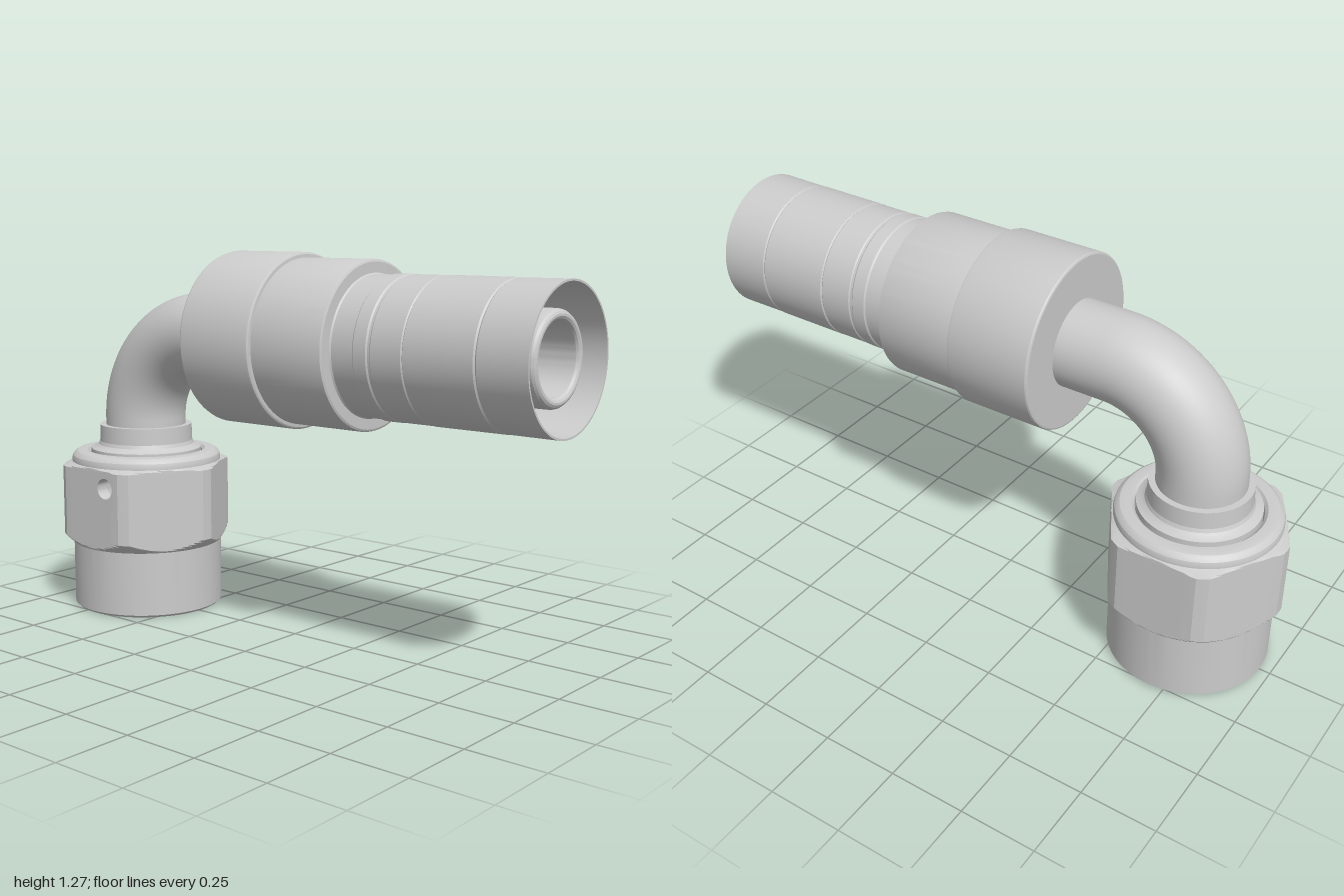
import * as THREE from 'three';
import { toCreasedNormals } from 'three/addons/utils/BufferGeometryUtils.js';

const SEG = 96;
const grey = new THREE.MeshStandardMaterial({ color: 0xcccccc });
const inner = new THREE.MeshStandardMaterial({ color: 0xcccccc, side: THREE.BackSide });
const CREASE = THREE.MathUtils.degToRad(20);

function part(name, geometry, material = grey) {
  const mesh = new THREE.Mesh(geometry, material);
  mesh.name = name;
  return mesh;
}

// Profile of [radius, height] pairs: outside upwards, inside downwards
const lathe = (pts, seg = SEG) =>
  new THREE.LatheGeometry(pts.map(([r, y]) => new THREE.Vector2(r, y)), seg);
const turned = (pts, seg) => toCreasedNormals(lathe(pts, seg), CREASE);

const FLAT = 0.27; // hexagon axis to flat
const HOLE = { x: 0.07, y: 0.455, r: 0.036 };

function nutGeometry() {
  const geo = lathe([
    [0.21, 0.03], [0.235, 0], [0.257, 0], [0.265, 0.008], [0.265, 0.23],
    [0.27, 0.236], [0.276, 0.241], [0.282, 0.246], [0.288, 0.251], [0.294, 0.257], [0.3, 0.264],
    [0.3, 0.4], [0.3, 0.505], [0.3, 0.512], [0.285, 0.516], [0.27, 0.52],
    [0.265, 0.522], [0.265, 0.532], [0.262, 0.543], [0.255, 0.552], [0.246, 0.558], [0.235, 0.56],
    [0.21, 0.56], [0.2, 0.55], [0.2, 0.42], [0.21, 0.42], [0.21, 0.03],
  ]);
  // Cut the six flats: no point lies further out than its hexagon side
  const p = geo.attributes.position;
  for (let i = 0; i < p.count; i++) {
    const x = p.getX(i), z = p.getZ(i), r = Math.hypot(x, z);
    const a = Math.atan2(x, z), step = Math.PI / 3;
    const hex = FLAT / Math.cos(a - Math.round(a / step) * step);
    if (r > hex) p.setXYZ(i, x * hex / r, p.getY(i), z * hex / r);
  }
  // Leave out the patch of the front flat that carries the drilled hole
  const keep = [], id = geo.index.array;
  for (let i = 0; i < id.length; i += 3) {
    const tri = [id[i], id[i + 1], id[i + 2]];
    const mid = (get) => tri.reduce((s, v) => s + p[get](v), 0) / 3;
    const x = mid('getX'), y = mid('getY'), z = mid('getZ');
    const inPatch = z > 0.265 && x > 0.018 && x < 0.1115 && y > 0.4 && y < 0.505;
    if (!inPatch) keep.push(...tri);
  }
  geo.setIndex(keep);
  return toCreasedNormals(geo, CREASE);
}

function createNut() {
  const nut = new THREE.Group();
  nut.name = 'swivelNut';
  nut.add(part('nutBody', nutGeometry()));

  // Front patch with the round hole
  const x0 = FLAT * Math.tan(Math.PI / 48), x1 = FLAT * Math.tan(Math.PI / 8);
  const shape = new THREE.Shape([[x0, 0.4], [x1, 0.4], [x1, 0.505], [x0, 0.505]]
    .map(([x, y]) => new THREE.Vector2(x, y)));
  shape.holes.push(new THREE.Path().absarc(HOLE.x, HOLE.y, HOLE.r, 0, Math.PI * 2, true));
  const patch = part('holeFace', new THREE.ShapeGeometry(shape, 32));
  patch.position.z = FLAT;
  nut.add(patch);

  // Blind hole with a drill point
  const hole = part('drilledHole', turned([[HOLE.r, 0], [HOLE.r, -0.045], [0, -0.065]], 32));
  hole.rotation.x = Math.PI / 2;
  hole.position.set(HOLE.x, HOLE.y, FLAT);
  nut.add(hole);

  // Collar joining the tube to the nut
  nut.add(part('collar', turned([
    [0.11, 0.39], [0.15, 0.39], [0.196, 0.44], [0.196, 0.566], [0.18, 0.572],
    [0.17, 0.58], [0.165, 0.592], [0.163, 0.65], [0.14, 0.65],
  ])));
  return nut;
}

const NUT_X = -0.7, AXIS_Y = 0.985, BEND = 0.31;

// One skin of the bent tube: upright leg, quarter bend, level leg
function tubeSkin(name, radius, material) {
  const skin = new THREE.Group();
  skin.name = name;
  const cx = NUT_X + BEND, cy = AXIS_Y - BEND;
  const bend = part(name + 'Bend', new THREE.TorusGeometry(BEND, radius, 64, 40, Math.PI / 2), material);
  bend.rotation.z = Math.PI / 2;
  bend.position.set(cx, cy, 0);
  const leg = (length) => new THREE.CylinderGeometry(radius, radius, length, 64, 1, true);
  const upright = part(name + 'Upright', leg(cy - 0.39), material);
  upright.position.set(NUT_X, (cy + 0.39) / 2, 0);
  const level = part(name + 'Level', leg(-0.24 - cx), material);
  level.rotation.z = -Math.PI / 2;
  level.position.set((cx - 0.24) / 2, AXIS_Y, 0);
  skin.add(bend, upright, level);
  return skin;
}

export function createModel() {
  const model = new THREE.Group();
  model.name = 'elbowHoseFitting';

  const nut = createNut();
  nut.position.x = NUT_X;
  model.add(nut, tubeSkin('tube', 0.142, grey), tubeSkin('bore', 0.11, inner));

  // Stepped sleeve with shallow grooves and an open mouth
  const sleeve = part('sleeve', turned([
    [0.13, -0.245], [0.278, -0.245], [0.283, -0.243], [0.285, -0.238],
    [0.285, 0.036], [0.283, 0.042], [0.278, 0.045], [0.268, 0.046],
    [0.268, 0.31], [0.266, 0.317], [0.26, 0.32], [0.226, 0.321], [0.222, 0.326],
    [0.222, 0.405], [0.226, 0.41], [0.226, 0.455], [0.222, 0.46], [0.222, 0.468],
    [0.225, 0.472], [0.225, 0.58], [0.222, 0.584], [0.226, 0.588],
    [0.226, 0.825], [0.222, 0.83], [0.225, 0.835], [0.226, 1],
    [0.22, 1], [0.205, 0.62], [0.13, 0.62],
  ]));

  // Inner nipple with a rounded lip and a through bore
  const nipple = part('nipple', turned([
    [0.143, 0.6], [0.143, 0.95], [0.141, 0.958], [0.136, 0.965], [0.129, 0.969],
    [0.122, 0.969], [0.115, 0.965], [0.111, 0.958], [0.11, 0.95], [0.11, -0.245],
  ]));

  for (const mesh of [sleeve, nipple]) {
    mesh.rotation.z = -Math.PI / 2;
    mesh.position.y = AXIS_Y;
    model.add(mesh);
  }
  return model;
}
